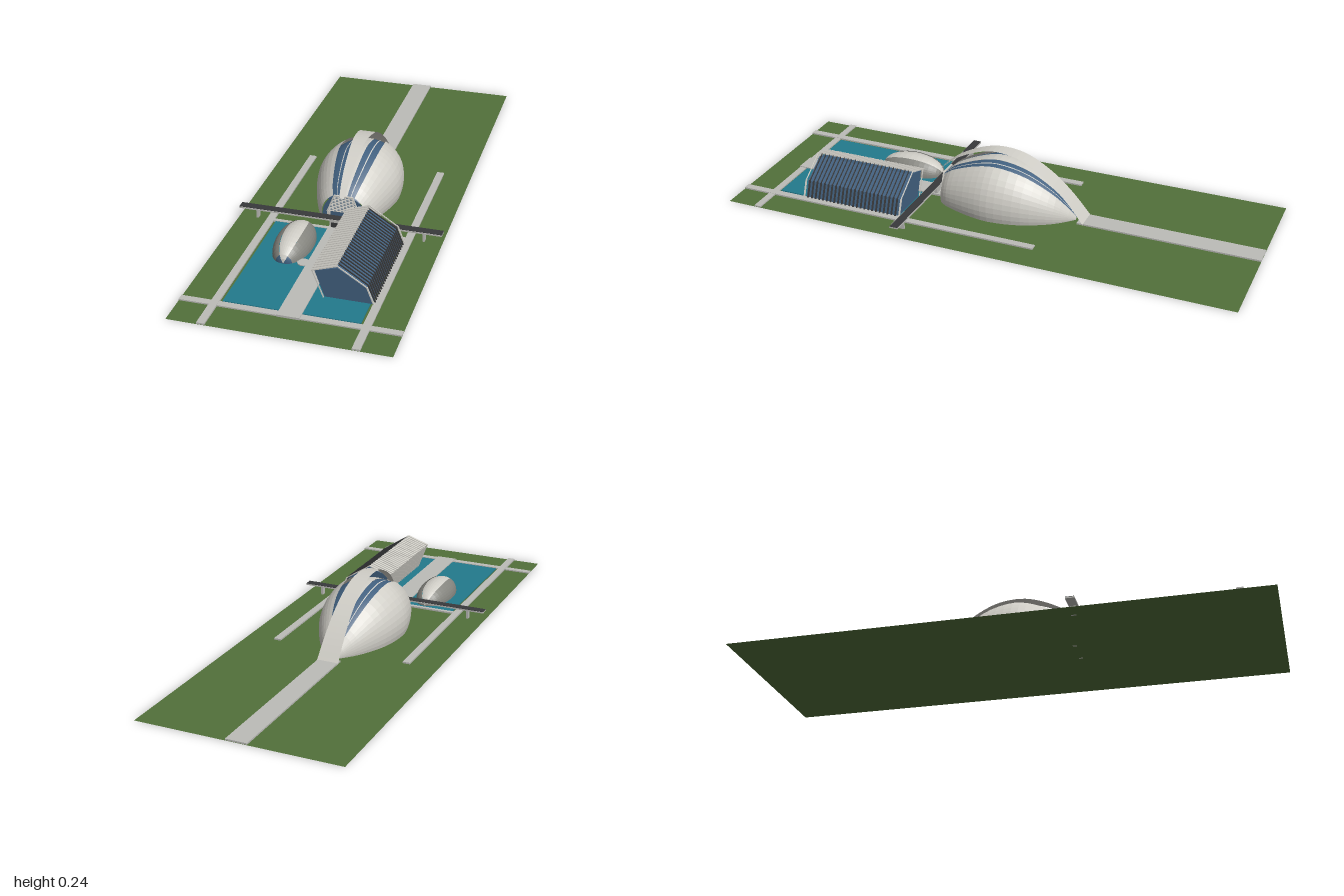
import * as THREE from 'three';

const mat = (name, color, extra = {}) => Object.assign(new THREE.MeshStandardMaterial({ color, ...extra }), { name });

export function createModel() {
  const root = new THREE.Group();
  root.name = 'gardenPavilions';
  const two = { side: THREE.DoubleSide };
  const grass = mat('grass', 0x52703a, two);
  const paving = mat('paving', 0xbcbcb8);
  const shell = mat('paleShell', 0xcfcdc6, { side: THREE.DoubleSide, flatShading: true });
  const grey = mat('greyShell', 0x85857f, { side: THREE.DoubleSide, flatShading: true });
  const glass = mat('glass', 0x41607f, two);
  const water = mat('water', 0x237a8c);
  const dark = mat('darkDeck', 0x38393b);

  const add = (name, geo, material, parent = root) => {
    const m = new THREE.Mesh(geo, material);
    m.name = name;
    parent.add(m);
    return m;
  };
  // Box given by its limits on each axis
  const box = (name, material, x0, x1, y0, y1, z0, z1, parent) => {
    const m = add(name, new THREE.BoxGeometry(x1 - x0, y1 - y0, z1 - z0), material, parent);
    m.position.set((x0 + x1) / 2, (y0 + y1) / 2, (z0 + z1) / 2);
    return m;
  };
  // Grid surface from a function of u, v in 0..1
  const surface = (fn, nu, nv) => {
    const pos = [], idx = [];
    for (let i = 0; i <= nu; i++) for (let j = 0; j <= nv; j++) pos.push(...fn(i / nu, j / nv));
    for (let i = 0; i < nu; i++) for (let j = 0; j < nv; j++) {
      const a = i * (nv + 1) + j, b = a + nv + 1;
      idx.push(a, a + 1, b, b, a + 1, b + 1);
    }
    const g = new THREE.BufferGeometry();
    g.setAttribute('position', new THREE.Float32BufferAttribute(pos, 3));
    g.setIndex(idx);
    g.computeVertexNormals();
    return g;
  };
  // Flat bar between two points of the x-y plane
  const bar = (name, material, [x0, y0], [x1, y1], z, thick, depth, parent) => {
    const m = add(name, new THREE.BoxGeometry(Math.hypot(x1 - x0, y1 - y0) + thick * 0.5, thick, depth), material, parent);
    m.position.set((x0 + x1) / 2, (y0 + y1) / 2, z);
    m.rotation.z = Math.atan2(y1 - y0, x1 - x0);
    return m;
  };

  // Ground, paths and pools
  const ground = add('lawn', new THREE.PlaneGeometry(0.77, 2), grass);
  ground.rotation.x = -Math.PI / 2;
  const paths = new THREE.Group();
  paths.name = 'paths';
  root.add(paths);
  box('rearPath', paving, -0.04, 0.04, 0.001, 0.007, -1, -0.3, paths);
  box('centrePath', paving, -0.04, 0.04, 0.001, 0.009, 0.22, 0.89, paths);
  box('crossPath', paving, -0.385, 0.385, 0.001, 0.006, 0.862, 0.888, paths);
  box('poolEdge', paving, -0.25, 0.25, 0.001, 0.007, 0.3, 0.315, paths);
  for (const s of [-1, 1]) {
    box('sidePath', paving, s * 0.263 - 0.014, s * 0.263 + 0.014, 0.001, 0.007, -0.215, 1, paths);
    box('pool', water, s * 0.14 - 0.1, s * 0.14 + 0.1, 0.001, 0.005, 0.315, 0.857);
  }
  add('poolLanding', new THREE.CylinderGeometry(0.022, 0.022, 0.008, 24), paving, paths).position.set(-0.053, 0.005, 0.56);

  // Great dome: long panels round an egg-shaped profile
  const dome = new THREE.Group();
  dome.name = 'greatDome';
  root.add(dome);
  const profile = new THREE.SplineCurve([
    [0.24, 0.53], [0.2, 0.7], [0.1, 0.92], [0.01, 1], [-0.1, 0.88], [-0.2, 0.57], [-0.26, 0.26], [-0.288, 0.06],
  ].map((p) => new THREE.Vector2(...p)));
  const panel = (name, material, a0, a1, r0, r1) => add(name, surface((u, v) => {
    const p = profile.getPoint(u);
    const a = THREE.MathUtils.degToRad(a0 + (a1 - a0) * v), r = (r0 + (r1 - r0) * v) * p.y;
    return [r * Math.sin(a), Math.max(0.002, 0.045 * p.y + r * Math.cos(a)), p.x];
  }, 24, 10), material, dome);
  panel('crownPanel', shell, -9, 9, 0.158, 0.158);
  for (const s of [-1, 1]) {
    panel('glassPanel', glass, s * 9, s * 45, 0.157, 0.157);
    panel('sideShell', shell, s * 27, s * 106, 0.169, 0.159);
    panel('glazingRib', shell, s * 17, s * 18.5, 0.159, 0.159);
  }
  // Front wall closing the dome
  const wall = new THREE.Shape();
  wall.moveTo(-0.08, 0.002);
  wall.absarc(0, 0.024, 0.083, Math.PI + 0.27, -0.27, true);
  add('frontWall', new THREE.ShapeGeometry(wall, 20), glass, dome).position.z = 0.237;
  // Louvred entrance screen
  const screen = new THREE.Shape([[-0.062, 0.04], [0.062, 0.04], [0.035, 0.108], [-0.035, 0.108]].map((p) => new THREE.Vector2(...p)));
  add('entranceScreen', new THREE.ShapeGeometry(screen), glass, dome).position.z = 0.245;
  for (let i = 0; i < 11; i++) {
    const y = 0.043 + i * 0.0062, w = 0.061 - (y - 0.04) * 0.4;
    box('louvre', shell, -w, w, y - 0.0013, y + 0.0013, 0.244, 0.249, dome);
  }
  for (const s of [-1, 1]) {
    bar('screenPost', shell, [s * 0.062, 0.04], [s * 0.035, 0.108], 0.247, 0.004, 0.006, dome);
    box('entrancePier', shell, s * 0.058 - 0.005, s * 0.058 + 0.005, 0, 0.04, 0.235, 0.25, dome);
  }
  bar('screenHead', shell, [-0.035, 0.108], [0.035, 0.108], 0.247, 0.004, 0.006, dome);

  // Tapering arch sweeping over the dome
  const archLine = new THREE.SplineCurve([
    [0.268, 0.115], [0.2, 0.174], [0.1, 0.222], [0.015, 0.236], [-0.08, 0.218], [-0.18, 0.159], [-0.26, 0.085], [-0.326, 0.006],
  ].map((p) => new THREE.Vector2(...p)));
  const archSide = (drop) => surface((u, v) => {
    const p = archLine.getPoint(u);
    return [(v - 0.5) * 2 * (0.008 + 0.034 * Math.pow(u, 0.8)), Math.max(0.001, p.y - drop), p.x];
  }, 32, 2);
  add('archTop', archSide(0), shell, dome);
  add('archUnderside', archSide(0.004), shell, dome);

  // Small dome in the pool
  const pod = new THREE.Group();
  pod.name = 'smallDome';
  pod.position.set(-0.12, 0.006, 0.455);
  root.add(pod);
  const podPanel = (name, material, a0, a1, t0, t1, r) => add(name, surface((u, v) => {
    const t = t0 + (t1 - t0) * u, a = THREE.MathUtils.degToRad(a0 + (a1 - a0) * v);
    const k = r * Math.pow(Math.sin(Math.PI * t), 0.85);
    return [k * Math.sin(a), k * Math.cos(a), 0.13 * Math.cos(Math.PI * t)];
  }, 16, 7), material, pod);
  podPanel('crownShell', shell, -29, 29, 0, 1, 0.068);
  for (const s of [-1, 1]) {
    podPanel('sideShell', grey, s * 29, s * 90, 0.12, 1, 0.07);
    podPanel('glassTip', glass, s * 29, s * 90, 0, 0.12, 0.07);
  }

  // Glass hall with a five-sided section
  const hall = new THREE.Group();
  hall.name = 'glassHall';
  root.add(hall);
  const section = [[0.08, 0.004], [0.046, 0.103], [0.128, 0.124], [0.225, 0.065], [0.245, 0.004]];
  const hallGeo = new THREE.ExtrudeGeometry(new THREE.Shape(section.map((p) => new THREE.Vector2(...p))), { depth: 0.4, bevelEnabled: false });
  add('hallGlazing', hallGeo, glass, hall).position.z = 0.34;
  const frame = [[0.078, 0.004], [0.038, 0.108], [0.125, 0.137], [0.229, 0.069], [0.254, 0.004]];
  const ribs = 26;
  for (let i = 0; i < ribs; i++) {
    const z = 0.335 + (i / (ribs - 1)) * 0.41;
    const end = i === 0 || i === ribs - 1;
    for (let k = 0; k < 4; k++) {
      const roof = k === 1;
      const m = k === 0 || roof || end ? shell : dark;
      bar(roof ? 'roofSlat' : 'hallRib', m, frame[k], frame[k + 1], z, 0.004, roof ? 0.0115 : k === 3 ? 0.006 : 0.003, hall);
    }
  }

  // Footbridge crossing the full width
  const bridge = new THREE.Group();
  bridge.name = 'footbridge';
  root.add(bridge);
  box('bridgeBeam', paving, -0.384, 0.384, 0.035, 0.0405, 0.274, 0.308, bridge);
  box('bridgeDeck', dark, -0.384, 0.384, 0.0405, 0.042, 0.275, 0.306, bridge);
  for (const s of [-1, 1]) box('bridgePost', paving, s * 0.316 - 0.004, s * 0.316 + 0.004, 0, 0.035, 0.281, 0.301, bridge);
  // Gateway beneath the bridge
  box('gatewayFrame', paving, -0.035, 0.035, 0.001, 0.033, 0.278, 0.305, bridge);
  box('gatewayOpening', dark, -0.03, 0.03, 0.005, 0.028, 0.303, 0.307, bridge);

  return root;
}
